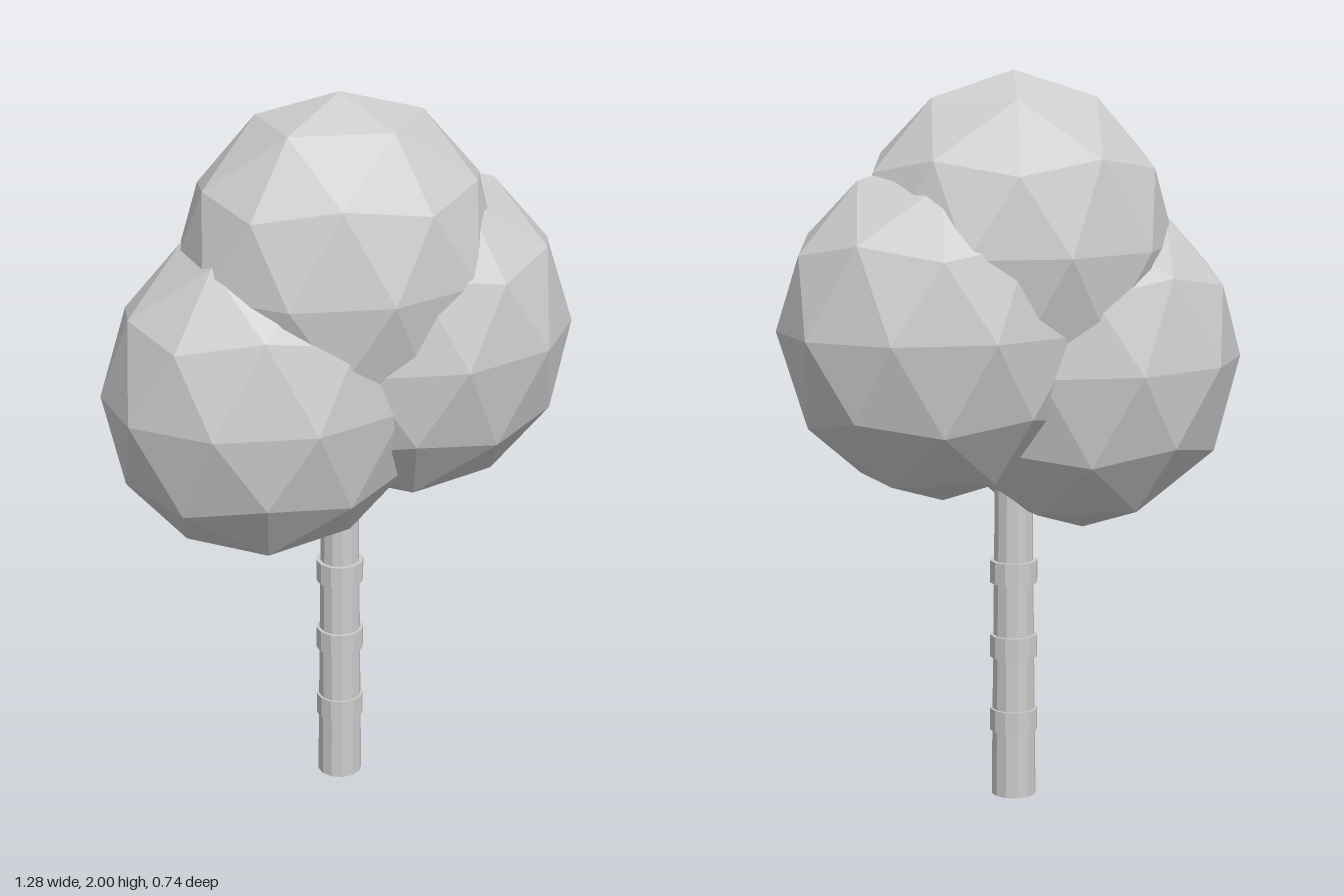
import * as THREE from 'three';

export function createModel() {
  const tree = new THREE.Group();
  tree.name = 'tree';
  const grey = new THREE.MeshStandardMaterial({ color: 0xcccccc, flatShading: true });
  grey.name = 'pale grey';

  const add = (name, geometry, x, y) => {
    const mesh = new THREE.Mesh(geometry, grey);
    mesh.name = name;
    mesh.position.set(x, y, 0);
    tree.add(mesh);
  };

  // Foliage: faceted balls with a corner pointing straight up, flattened front to back
  const foliage = new THREE.IcosahedronGeometry(1, 1);
  foliage.rotateZ(-Math.atan(2 / (1 + Math.sqrt(5))));
  foliage.scale(0.45, 0.47, 0.37);
  add('topFoliage', foliage, 0, 1.53);
  add('leftFoliage', foliage, 0.21, 1.32);
  add('rightFoliage', foliage, -0.21, 1.21);

  // Trunk: slightly tapered, running up into the foliage
  const sides = 12;
  const column = (top, bottom, height) =>
    new THREE.CylinderGeometry(top, bottom, height, sides).rotateY(Math.PI / sides);
  add('trunk', column(0.051, 0.062, 1), 0, 0.5);

  // Raised rings around the trunk
  for (let i = 0; i < 3; i++) {
    add('trunkRing' + (i + 1), column(0.066, 0.066, 0.062), 0, 0.215 + i * 0.21);
  }
  return tree;
}
